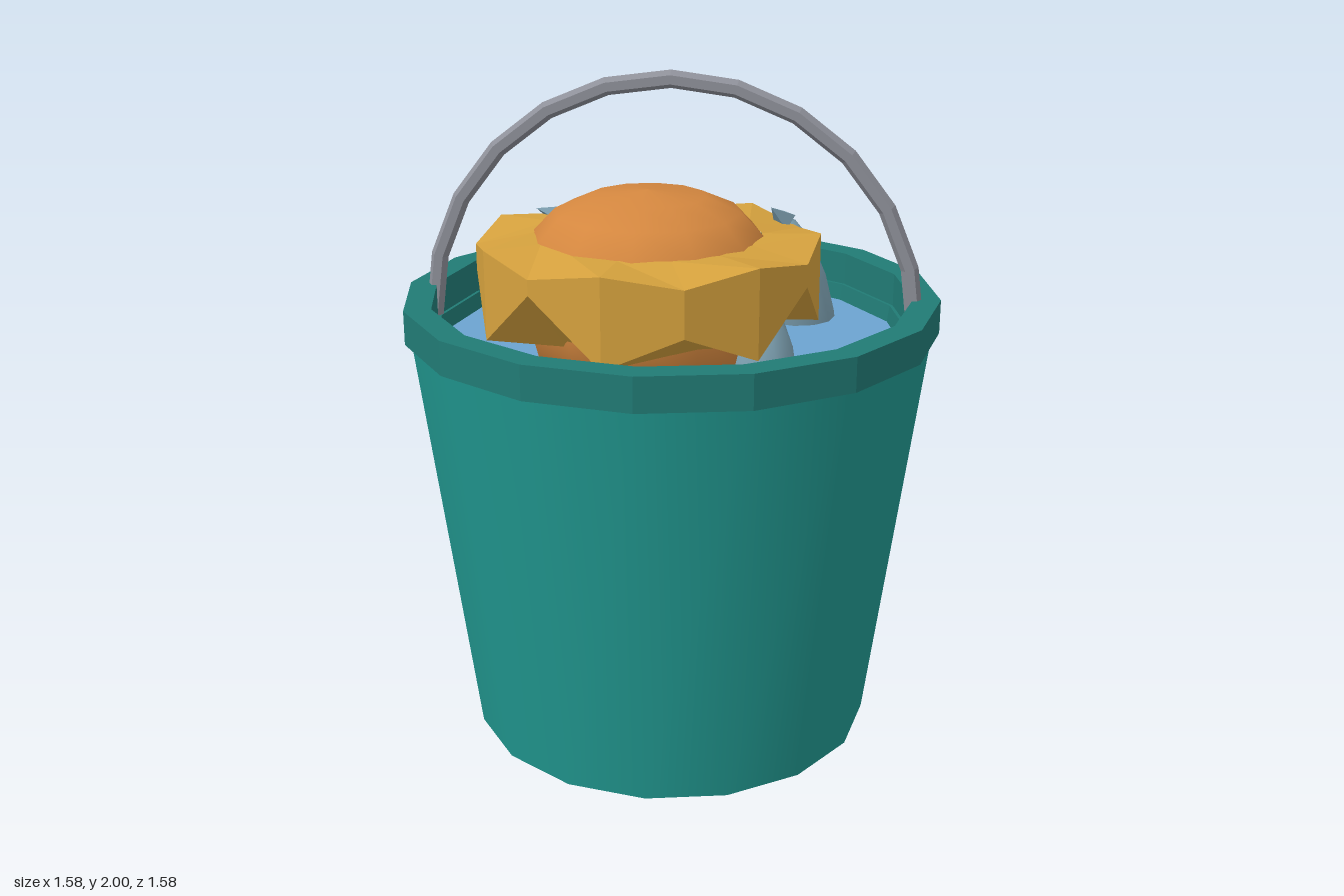
import * as THREE from 'three';

const mat = (name, color) => {
  const m = new THREE.MeshStandardMaterial({ color });
  m.name = name;
  return m;
};
const flat = (g) => {
  const f = g.index ? g.toNonIndexed() : g;
  f.computeVertexNormals();
  return f;
};
const lathe = (pts, sides, start = 0) =>
  new THREE.LatheGeometry(pts.map(([r, y]) => new THREE.Vector2(r, y)), sides, start);

export function createModel() {
  const group = new THREE.Group();
  const teal = mat('teal', 0x219890);
  const darkTeal = mat('darkTeal', 0x217b75);
  const blue = mat('waterBlue', 0x6ca4d0);
  const gold = mat('gold', 0xd6a23e);
  const orange = mat('orange', 0xd4873f);
  const skin = mat('greyBlue', 0x7fa3b4);
  const steel = mat('steel', 0x8e9099);
  const add = (name, geometry, material, x = 0, y = 0, z = 0) => {
    const mesh = new THREE.Mesh(geometry, material);
    mesh.name = name;
    mesh.position.set(x, y, z);
    group.add(mesh);
    return mesh;
  };

  // Bucket: tapered wall, raised rim with inner wall, water surface
  const wall = new THREE.CylinderGeometry(0.77, 0.61, 1.25, 16, 1, true);
  add('bucketWall', wall, teal, 0, 0.625, 0);
  const base = new THREE.CircleGeometry(0.61, 16).rotateX(Math.PI / 2);
  add('bucketBase', base, teal);
  add('bucketRim', flat(lathe([
    [0.765, 1.25], [0.79, 1.25], [0.79, 1.35], [0.71, 1.35],
    [0.71, 1.25], [0.7, 1.25], [0.68, 1.12],
  ], 16)), darkTeal);
  add('water', new THREE.CircleGeometry(0.693, 16).rotateX(-Math.PI / 2), blue, 0, 1.2, 0);

  // Arched carrying handle
  add('handle', flat(new THREE.TorusGeometry(0.72, 0.026, 6, 12, Math.PI)), steel, 0, 1.254, 0);

  // Shell skirt: 14-sided ring, every second corner dips on top and is notched below
  const ring = lathe([[0.35, 1.28], [0.5, 1.28], [0.5, 1.54], [0.33, 1.54]], 14, -0.12);
  const notch = [1.37, 1.44, 1.4, 1.42, 1.38, 1.43, 1.46];
  const p = ring.attributes.position;
  for (let i = 1; i < 14; i += 2) {
    p.setY(i * 4 + 1, notch[(i - 1) / 2]);
    p.setY(i * 4 + 2, 1.505);
  }
  add('shellSkirt', flat(ring), gold, -0.06, 0, 0.06);

  // Rounded shell body showing above and below the skirt
  add('shellDome', lathe([
    [0.25, 1.1], [0.34, 1.2], [0.37, 1.32], [0.365, 1.47], [0.335, 1.54],
    [0.273, 1.605], [0.17, 1.65], [0, 1.668],
  ], 12), orange, -0.06, 0, 0.06);

  // Limbs: stretched spheres leaning along an axis
  const up = new THREE.Vector3(0, 1, 0);
  const limb = (name, c, dir, r, len) => {
    const m = add(name, new THREE.SphereGeometry(1, 12, 8), skin, ...c);
    m.scale.set(r, len, r);
    m.quaternion.setFromUnitVectors(up, new THREE.Vector3(...dir).normalize());
  };
  limb('backLeftLimb', [0.36, 1.2, -0.3], [-0.16, 1, 0.2], 0.117, 0.34);
  limb('backRightLimb', [-0.32, 1.2, -0.16], [-0.1, 1, 0.05], 0.1, 0.32);
  limb('frontLeftLimb', [0.29, 1.15, 0.2], [-0.1, 1, -0.1], 0.1, 0.25);

  // Small claws
  const claw = (c, dir) => {
    const m = add('claw', flat(new THREE.ConeGeometry(0.037, 0.08, 4)), skin, ...c);
    m.quaternion.setFromUnitVectors(up, new THREE.Vector3(...dir).normalize());
  };
  claw([-0.39, 1.545, -0.14], [-0.9, 0.35, 0.3]);
  claw([0.3, 1.545, -0.2], [-0.4, 0.5, 0.5]);
  claw([0.59, 0.7, -0.4], [0.85, 0.3, -0.2]);

  return group;
}
